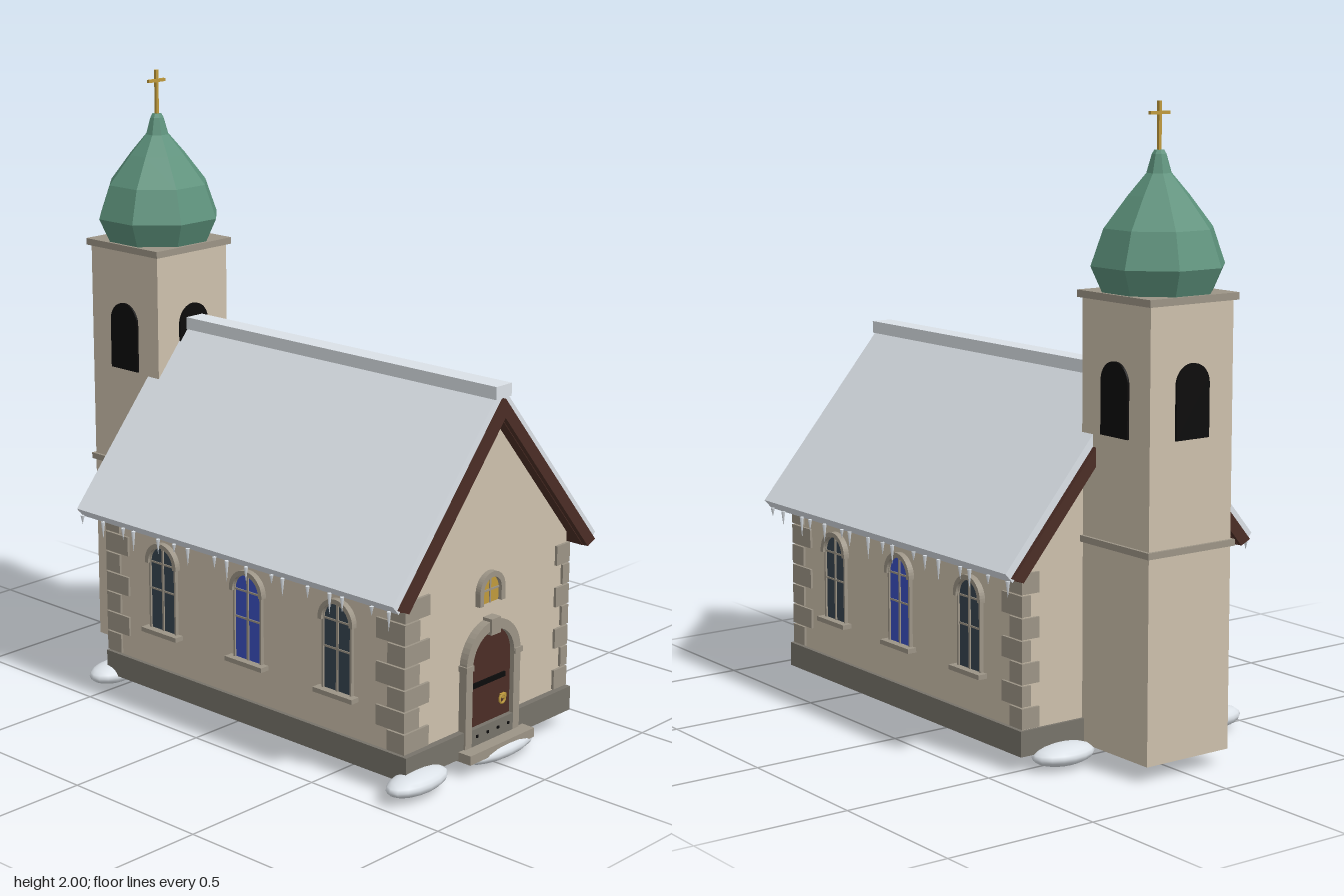
import * as THREE from 'three';

const mat = (name, color) => {
  const m = new THREE.MeshStandardMaterial({ color });
  m.name = name;
  return m;
};

export function createModel() {
  const model = new THREE.Group();
  model.name = 'chapel';
  const plaster = mat('cream plaster', 0xcdc0ac);
  const stone = mat('stone trim', 0x9c9486);
  const plinthStone = mat('dark plinth stone', 0x77736a);
  const snow = mat('snow', 0xdce2e8);
  const copper = mat('green copper', 0x5c917b);
  const wood = mat('dark wood', 0x4b2d25);
  const gold = mat('gold', 0xbf9a3c);
  const glass = mat('dark glass', 0x364450);
  const blueGlass = mat('blue glass', 0x3a4fc0);
  const black = mat('black', 0x0c0b0b);

  const add = (parent, name, geo, material, x = 0, y = 0, z = 0) => {
    const m = new THREE.Mesh(geo, material);
    m.name = name;
    m.position.set(x, y, z);
    parent.add(m);
    return m;
  };
  // Box given by its extents on each axis
  const box = (parent, name, material, x0, x1, y0, y1, z0, z1) =>
    add(parent, name, new THREE.BoxGeometry(x1 - x0, y1 - y0, z1 - z0), material,
      (x0 + x1) / 2, (y0 + y1) / 2, (z0 + z1) / 2);
  const extrude = (shape, depth) =>
    new THREE.ExtrudeGeometry(shape, { depth, bevelEnabled: false, curveSegments: 12 });
  const polygon = (pts) => new THREE.Shape(pts.map((p) => new THREE.Vector2(...p)));

  // Round-topped opening of half width r, from y0 up to a spring line
  const archPath = (path, r, y0, spring) => {
    path.moveTo(-r, y0);
    path.lineTo(r, y0);
    path.lineTo(r, spring);
    path.absarc(0, spring, r, 0, Math.PI, false);
    path.lineTo(-r, y0);
    return path;
  };
  const archPlate = (r, y0, spring, depth) => extrude(archPath(new THREE.Shape(), r, y0, spring), depth);
  // Arched band open at the bottom
  const archBand = (rOut, rIn, y0, spring, depth) => {
    const s = new THREE.Shape();
    s.moveTo(rOut, y0);
    s.lineTo(rOut, spring);
    s.absarc(0, spring, rOut, 0, Math.PI, false);
    s.lineTo(-rOut, y0);
    s.lineTo(-rIn, y0);
    s.lineTo(-rIn, spring);
    s.absarc(0, spring, rIn, Math.PI, 0, true);
    s.lineTo(rIn, y0);
    return extrude(s, depth);
  };

  // Nave walls and plinth
  const nave = extrude(polygon([[-0.385, 0.1], [0.385, 0.1], [0.385, 0.645], [0, 1.11], [-0.385, 0.645]]), 1.28);
  add(model, 'naveWalls', nave, plaster, 0, 0, -0.515);
  box(model, 'plinth', plinthStone, -0.398, 0.398, 0.05, 0.13, -0.525, 0.787);

  // Roof layers: chevrons between two apex heights
  const SLOPE = 1.18;
  const chevron = (name, material, top, xTop, bottom, xBottom, z0, z1) => {
    const g = extrude(polygon([
      [0, top], [-xTop, top - SLOPE * xTop], [-xBottom, bottom - SLOPE * xBottom],
      [0, bottom], [xBottom, bottom - SLOPE * xBottom], [xTop, top - SLOPE * xTop],
    ]), z1 - z0);
    add(model, name, g, material, 0, 0, z0);
  };
  chevron('roofBoards', wood, 1.14, 0.452, 1.1, 0.425, -0.56, 0.8);
  chevron('roofSnow', snow, 1.2, 0.482, 1.14, 0.456, -0.562, 0.803);
  chevron('frontBargeboard', wood, 1.162, 0.463, 1.103, 0.427, 0.8, 0.818);
  chevron('backBargeboard', wood, 1.162, 0.463, 1.103, 0.427, -0.577, -0.56);
  box(model, 'ridgeSnow', snow, -0.036, 0.036, 1.163, 1.203, -0.51, 0.81);

  // Corner stones, long and short faces alternating
  const quoins = new THREE.Group();
  quoins.name = 'cornerStones';
  model.add(quoins);
  for (let i = 0; i < 7; i++) {
    const y = 0.134 + i * 0.069;
    const wide = i % 2 === 0;
    const lx = wide ? 0.28 : 0.325;
    const rx = wide ? 0.328 : 0.36;
    const fz = wide ? 0.705 : 0.66;
    const bz = wide ? -0.46 : -0.42;
    for (const [x0, x1] of [[-0.393, -lx], [rx, 0.393]]) {
      box(quoins, 'cornerStone', stone, x0, x1, y, y + 0.064, fz, 0.774);
      box(quoins, 'cornerStone', stone, x0, x1, y, y + 0.064, -0.524, bz);
    }
  }

  // Side windows
  for (const side of [-1, 1]) {
    [0.505, 0.127, -0.255].forEach((z, i) => {
      const w = new THREE.Group();
      w.name = 'sideWindow';
      w.position.set(side * 0.385, 0, z);
      w.rotation.y = side * Math.PI / 2;
      model.add(w);
      add(w, 'windowGlass', archPlate(0.056, 0.262, 0.49, 0.006), i === 1 ? blueGlass : glass);
      add(w, 'windowJambs', archBand(0.061, 0.054, 0.262, 0.49, 0.012), stone);
      add(w, 'windowHood', archBand(0.071, 0.056, 0.485, 0.49, 0.02), stone);
      box(w, 'windowSill', stone, -0.08, 0.08, 0.25, 0.265, 0, 0.032);
      box(w, 'windowMullion', stone, -0.004, 0.004, 0.262, 0.545, 0, 0.01);
      for (const y of [0.4, 0.49]) box(w, 'windowBar', stone, -0.054, 0.054, y - 0.003, y + 0.003, 0, 0.009);
    });
  }

  // Door with stone surround
  add(model, 'door', archPlate(0.1, 0.125, 0.332, 0.012), wood, 0, 0, 0.765);
  add(model, 'doorSurround', archBand(0.13, 0.099, 0.075, 0.332, 0.029), stone, 0, 0, 0.764);
  box(model, 'doorKeystone', stone, -0.022, 0.022, 0.418, 0.47, 0.765, 0.8);
  for (const s of [-1, 1]) box(model, 'doorImpost', stone, s * 0.117 - 0.018, s * 0.117 + 0.018, 0.325, 0.343, 0.765, 0.798);
  box(model, 'doorStrap', black, -0.09, 0.07, 0.257, 0.273, 0.775, 0.783);
  add(model, 'doorHandle', new THREE.TorusGeometry(0.013, 0.004, 6, 12), gold, 0.055, 0.187, 0.785);
  box(model, 'doorLatch', gold, 0.05, 0.072, 0.19, 0.203, 0.776, 0.788);
  box(model, 'threshold', plinthStone, -0.1, 0.1, 0.07, 0.13, 0.76, 0.793);
  for (let i = 0; i < 4; i++) box(model, 'thresholdStud', black, -0.079 + i * 0.05, -0.071 + i * 0.05, 0.101, 0.109, 0.79, 0.797);
  box(model, 'doorStep', stone, -0.155, 0.155, 0.045, 0.075, 0.76, 0.835);

  // Small lit window over the door
  add(model, 'fanlightGlass', archPlate(0.044, 0.513, 0.555, 0.006), gold, 0, 0, 0.765);
  add(model, 'fanlightFrame', archBand(0.06, 0.042, 0.513, 0.555, 0.02), stone, 0, 0, 0.764);
  box(model, 'fanlightMullion', stone, -0.003, 0.003, 0.513, 0.6, 0.765, 0.774);
  box(model, 'fanlightBar', stone, -0.042, 0.042, 0.552, 0.558, 0.765, 0.774);

  // Bell tower
  const tower = new THREE.Group();
  tower.name = 'bellTower';
  tower.position.z = -0.668;
  model.add(tower);
  box(tower, 'towerWalls', plaster, -0.158, 0.158, 0.05, 1.43, -0.158, 0.158);
  box(tower, 'towerBand', stone, -0.168, 0.168, 0.68, 0.7, -0.168, 0.168);
  box(tower, 'towerCornice', stone, -0.17, 0.17, 1.42, 1.442, -0.17, 0.17);
  for (let i = 0; i < 4; i++) {
    const g = archPlate(0.063, 1.02, 1.182, 0.008);
    g.translate(0, 0, 0.157);
    add(tower, 'belfryOpening', g, black).rotation.y = i * Math.PI / 2;
  }

  // Eight-sided onion dome, flat faces toward the axes
  const profile = [[0, 1.44], [0.158, 1.44], [0.192, 1.52], [0.156, 1.63], [0.088, 1.725],
    [0.036, 1.79], [0.021, 1.845], [0.014, 1.857], [0, 1.857]]
    .map(([r, y]) => new THREE.Vector2(r / Math.cos(Math.PI / 8), y));
  const dome = new THREE.LatheGeometry(profile, 8, Math.PI / 8).toNonIndexed();
  dome.computeVertexNormals();
  add(tower, 'onionDome', dome, copper);
  box(tower, 'crossPost', gold, -0.005, 0.005, 1.85, 2, -0.005, 0.005);
  box(tower, 'crossBar', gold, -0.037, 0.037, 1.96, 1.97, -0.005, 0.005);

  // Icicles along the eaves
  for (const side of [-1, 1]) {
    for (let i = 0; i < 17; i++) {
      const len = 0.03 + 0.04 * ((i * 7 + (side > 0 ? 0 : 3)) % 5) / 4;
      const z = 0.775 - i * 0.082 + 0.02 * Math.sin(i * 2.3);
      add(model, 'icicle', new THREE.ConeGeometry(0.007, len, 6), snow, side * 0.467, 0.607 - len / 2, z).rotation.x = Math.PI;
    }
  }

  // Snow drifts at the base: centre x, y, z and radii
  const drifts = [
    [-0.35, 0.045, 0.79, 0.125, 0.035, 0.06], [0.03, 0.04, 0.79, 0.165, 0.033, 0.06],
    [-0.36, 0.045, -0.53, 0.1, 0.035, 0.062], [0.25, 0.04, -0.54, 0.11, 0.034, 0.066],
    [-0.02, 0.034, -0.54, 0.12, 0.034, 0.06],
  ];
  for (const [x, y, z, rx, ry, rz] of drifts) {
    add(model, 'snowDrift', new THREE.SphereGeometry(1, 16, 10), snow, x, y, z).scale.set(rx, ry, rz);
  }
  return model;
}
